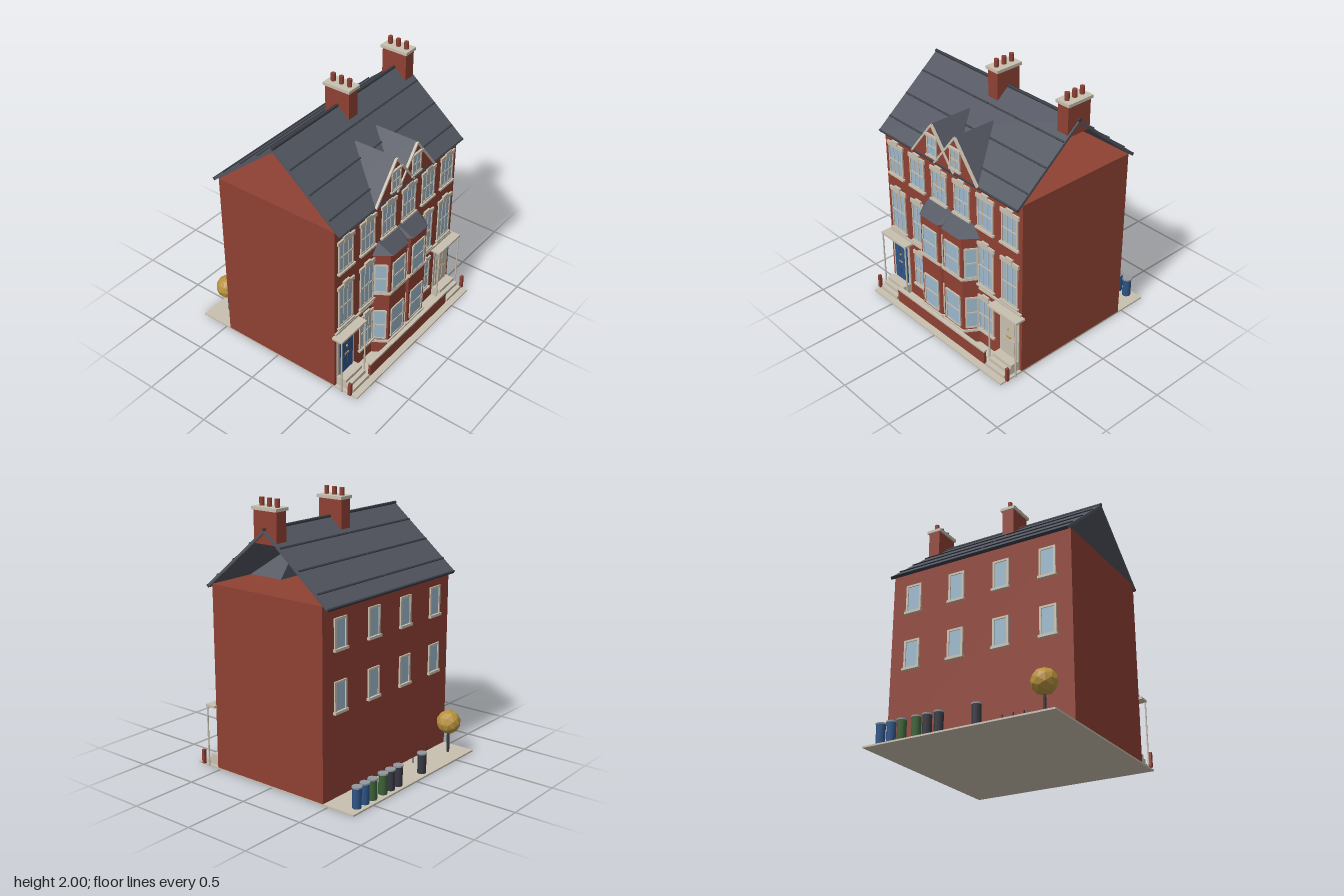
import * as THREE from 'three';

const mat = (name, color, flat = false) => {
  const m = new THREE.MeshStandardMaterial({ color, flatShading: flat });
  m.name = name;
  return m;
};

export function createModel() {
  const brick = mat('brick red', 0x8f4134), stone = mat('pale stone', 0xc8c0b0);
  const slate = mat('roof slate', 0x525660), dark = mat('dark grey', 0x373a42);
  const glass = mat('window glass', 0x9bb8cc), blue = mat('door blue', 0x2f5587);
  const green = mat('bin green', 0x3d6239), gold = mat('gold', 0xb8923f, true);
  const grey = mat('lid grey', 0x92979f);
  const root = new THREE.Group();
  root.name = 'terracedHouses';

  const add = (parent, name, geo, m, x = 0, y = 0, z = 0) => {
    const mesh = new THREE.Mesh(geo, m);
    mesh.name = name;
    mesh.position.set(x, y, z);
    parent.add(mesh);
    return mesh;
  };
  // box given by its lower and upper limits on each axis
  const box = (parent, name, m, x0, x1, y0, y1, z0, z1) =>
    add(parent, name, new THREE.BoxGeometry(x1 - x0, y1 - y0, z1 - z0), m, (x0 + x1) / 2, (y0 + y1) / 2, (z0 + z1) / 2);
  const cyl = (parent, name, m, r, y0, y1, x, z, sides = 8) =>
    add(parent, name, new THREE.CylinderGeometry(r, r, y1 - y0, sides), m, x, (y0 + y1) / 2, z);
  const group = (name, x = 0, y = 0, z = 0, ry = 0, parent = root) => {
    const g = new THREE.Group();
    g.name = name;
    g.position.set(x, y, z);
    g.rotation.y = ry;
    parent.add(g);
    return g;
  };
  const extrude = (pts, depth) => new THREE.ExtrudeGeometry(
    new THREE.Shape(pts.map(([a, b]) => new THREE.Vector2(a, b))), { depth, bevelEnabled: false });
  // floor plan (x, z) raised from y0 to y1
  const plan = (parent, name, m, pts, y0, y1) =>
    add(parent, name, extrude(pts.map(([x, z]) => [x, -z]), y1 - y0).rotateX(-Math.PI / 2), m, 0, y0, 0);

  // sash window: origin at the bottom centre on the wall, facing +z
  function sash(g, w, h, bars = 0, frame = 0.012) {
    box(g, 'pane', glass, -w / 2, w / 2, 0, h, -0.002, 0.004);
    for (const s of [-1, 1])
      box(g, 'frameSide', stone, s * w / 2 - frame / 2, s * w / 2 + frame / 2, 0, h, 0, 0.01);
    for (const y of [0, h / 2, h]) {
      const t = y === h / 2 ? 0.005 : frame / 2;
      box(g, 'frameRail', stone, -w / 2, w / 2, y - t, y + t, 0, 0.009);
    }
    for (let i = 1; i <= bars; i++) {
      const x = -w / 2 + w * i / (bars + 1);
      box(g, 'glazingBar', stone, x - 0.003, x + 0.003, 0, h, 0, 0.008);
    }
  }
  function wallWindow(x, y, h) {
    const g = group('frontWindow', x, y, 0.52);
    sash(g, 0.145, h, 2);
    box(g, 'sill', stone, -0.09, 0.09, -0.02, -0.004, 0, 0.02);
    box(g, 'lintel', stone, -0.09, 0.09, h, h + 0.03, 0, 0.013);
    box(g, 'keystone', stone, -0.032, 0.032, h, h + 0.05, 0, 0.016);
  }

  // ground and main block
  box(root, 'ground', stone, -0.718, 0.718, 0, 0.012, -0.72, 0.715);
  box(root, 'walls', brick, -0.718, 0.718, 0.012, 1.367, -0.46, 0.52);

  // front windows by storey
  for (const x of [-0.6, -0.36, -0.12, 0.12, 0.36, 0.6]) wallWindow(x, 1.015, 0.225);
  for (const x of [-0.6, -0.36, 0.36, 0.6]) wallWindow(x, 0.54, 0.32);
  for (const x of [-0.36, 0.36]) wallWindow(x, 0.15, 0.26);

  // back windows
  for (const x of [-0.54, -0.18, 0.18, 0.54])
    for (const y of [0.625, 1.055]) {
      const g = group('backWindow', x, y, -0.46, Math.PI);
      box(g, 'pane', glass, -0.05, 0.05, 0, 0.2, -0.002, 0.005);
      for (const s of [-1, 1]) box(g, 'frameSide', stone, s * 0.055 - 0.008, s * 0.055 + 0.008, 0, 0.2, 0, 0.012);
      box(g, 'lintel', stone, -0.063, 0.063, 0.195, 0.21, 0, 0.012);
      box(g, 'sill', stone, -0.07, 0.07, -0.015, 0.004, 0, 0.022);
    }

  // open-ended pitched roof
  const roofProfile = [[0.57, 1.355], [0.03, 1.8], [-0.51, 1.355], [-0.498, 1.338], [0.03, 1.776], [0.558, 1.338]];
  add(root, 'roof', extrude(roofProfile.map(([z, y]) => [-z, y]), 1.436).rotateY(Math.PI / 2), slate, -0.718);
  const pitch = Math.atan2(0.445, 0.54);
  for (const s of [-1, 1]) {
    for (const d of [0.135, 0.29, 0.445])
      for (const side of [-1, 1])
        add(root, 'slateCourse', new THREE.BoxGeometry(0.706, 0.012, 0.012), dark,
          side * 0.359, 1.8 - d * 0.445 / 0.54 + 0.002, 0.03 + s * d).rotation.x = s * pitch;
    add(root, 'eave', new THREE.BoxGeometry(1.438, 0.022, 0.012), dark,
      0, 1.347, 0.03 + s * 0.535).rotation.x = s * pitch;
  }
  add(root, 'ridge', new THREE.CylinderGeometry(0.012, 0.012, 1.44, 8).rotateZ(Math.PI / 2), dark, 0, 1.8, 0.03);

  // chimneys
  for (const x of [0, 0.66]) {
    const g = group('chimney', x, 0, 0.028);
    box(g, 'stack', brick, -0.047, 0.047, 1.7, 1.925, -0.1, 0.1);
    box(g, 'cap', stone, -0.06, 0.06, 1.922, 1.944, -0.11, 0.11);
    for (const z of [-0.068, 0, 0.068]) cyl(g, 'pot', brick, 0.017, 1.94, 2, 0, z, 10);
  }

  for (const s of [-1, 1]) {
    // dormer
    const dormer = group('dormer', s * 0.12, 0, 0);
    const tri = [[-0.225, 1.353], [0.225, 1.353], [0, 1.638]];
    add(dormer, 'dormerRoof', extrude(tri, 0.325), slate, 0, 0, 0.235);
    const inner = [[-0.22, 1.354], [0.22, 1.354], [0, 1.632]];
    add(dormer, 'dormerGable', extrude(inner, 0.008), brick, 0, 0, 0.56);
    const slope = Math.atan2(0.285, 0.225);
    for (const d of [-1, 1])
      add(dormer, 'bargeBoard', new THREE.BoxGeometry(0.355, 0.014, 0.018), stone,
        d * 0.11, 1.49, 0.569).rotation.z = -d * slope;
    const dw = group('dormerWindow', 0, 1.395, 0.568, 0, dormer);
    sash(dw, 0.092, 0.145, 1);
    box(dw, 'dormerLintel', stone, -0.063, 0.063, 0.145, 0.162, 0, 0.016);
    box(dw, 'dormerSill', stone, -0.06, 0.06, -0.014, 0, 0, 0.016);

    // two-storey bay
    const bay = group('bay', s * 0.12, 0, 0);
    const outline = (o) => [[-0.17 - o, 0.515], [-0.1 - o * 0.6, 0.62 + o], [0.1 + o * 0.6, 0.62 + o], [0.17 + o, 0.515]];
    plan(bay, 'bayWalls', brick, outline(0), 0.012, 0.912);
    for (const y of [0.115, 0.565]) plan(bay, 'baySill', stone, outline(0.012), y, y + 0.018);
    for (const [y, h] of [[0.155, 0.255], [0.588, 0.237]]) {
      sash(group('bayWindow', 0, y, 0.62, 0, bay), 0.145, h);
      for (const d of [-1, 1])
        sash(group('baySideWindow', d * 0.135, y, 0.5675, d * Math.atan2(0.105, 0.07), bay), 0.085, h);
    }
    // hipped bay roof from eave and wall lines
    const E = [[-0.18, 0.91, 0.52], [-0.092, 0.91, 0.635], [0.092, 0.91, 0.635], [0.18, 0.91, 0.52]];
    const T = [[-0.115, 0.992, 0.52], [0.115, 0.992, 0.52]];
    const faces = [E[0], E[1], T[0], E[1], E[2], T[1], E[1], T[1], T[0], E[2], E[3], T[1],
      E[0], E[3], E[2], E[0], E[2], E[1]];
    const hip = new THREE.BufferGeometry();
    hip.setAttribute('position', new THREE.Float32BufferAttribute(faces.flat(), 3));
    hip.computeVertexNormals();
    add(bay, 'bayRoof', hip, slate);

    // entrance: door, steps and porch
    const porch = group('entrance', s * 0.6, 0, 0);
    box(porch, 'doorSurround', stone, -0.095, 0.095, 0.012, 0.465, 0.52, 0.527);
    box(porch, 'door', s < 0 ? blue : stone, -0.073, 0.073, 0.09, 0.435, 0.52, 0.533);
    for (const y of [0.12, 0.28])
      for (const d of [-1, 1])
        box(porch, 'doorPanel', s < 0 ? blue : stone, d * 0.034 - 0.024, d * 0.034 + 0.024, y, y + 0.115, 0.53, 0.537);
    box(porch, 'letterPlate', gold, -0.022, 0.022, 0.247, 0.256, 0.53, 0.54);
    add(porch, 'doorKnocker', new THREE.SphereGeometry(0.009, 8, 6), gold, 0, 0.318, 0.536);
    [[0.09, 0.6, 0.095], [0.065, 0.632, 0.095], [0.038, 0.665, 0.095]].forEach(([y, z, w]) =>
      box(porch, 'step', stone, -w, w, 0.012, y, 0.52, z));
    box(porch, 'canopy', stone, -0.143, 0.143, 0.468, 0.484, 0.515, 0.6);
    for (const d of [-0.134, 0.134]) cyl(porch, 'porchPost', stone, 0.006, 0.012, 0.47, d, 0.592);
    box(root, 'stringCourse', stone, s * 0.505 - 0.213, s * 0.505 + 0.213, 0.49, 0.506, 0.52, 0.534);
    box(root, 'endWall', brick, s * 0.722 - 0.011, s * 0.722 + 0.011, 0.012, 0.118, 0.645, 0.668);
  }

  // front garden wall
  box(root, 'gardenWall', brick, -0.488, 0.488, 0.012, 0.116, 0.642, 0.662);
  box(root, 'gardenWallCap', stone, -0.492, 0.492, 0.116, 0.13, 0.637, 0.667);

  // bins in the back yard
  const bins = [[0.615, blue], [0.53, blue], [0.445, green], [0.33, green], [0.245, dark], [0.155, dark], [-0.13, dark]];
  for (const [x, m] of bins) {
    const g = group('bin', x, 0, -0.665);
    cyl(g, 'binBody', m, 0.032, 0.012, 0.155, 0, 0);
    cyl(g, 'binLid', grey, 0.037, 0.155, 0.166, 0, 0);
  }

  // yard posts and tree
  for (const x of [-0.39, -0.31, -0.23]) cyl(root, 'yardPost', dark, 0.004, 0.012, 0.118, x, -0.52, 6);
  cyl(root, 'treeTrunk', dark, 0.011, 0.012, 0.2, -0.575, -0.592);
  add(root, 'treeCrown', new THREE.IcosahedronGeometry(0.09, 1), gold, -0.575, 0.248, -0.592);

  return root;
}
